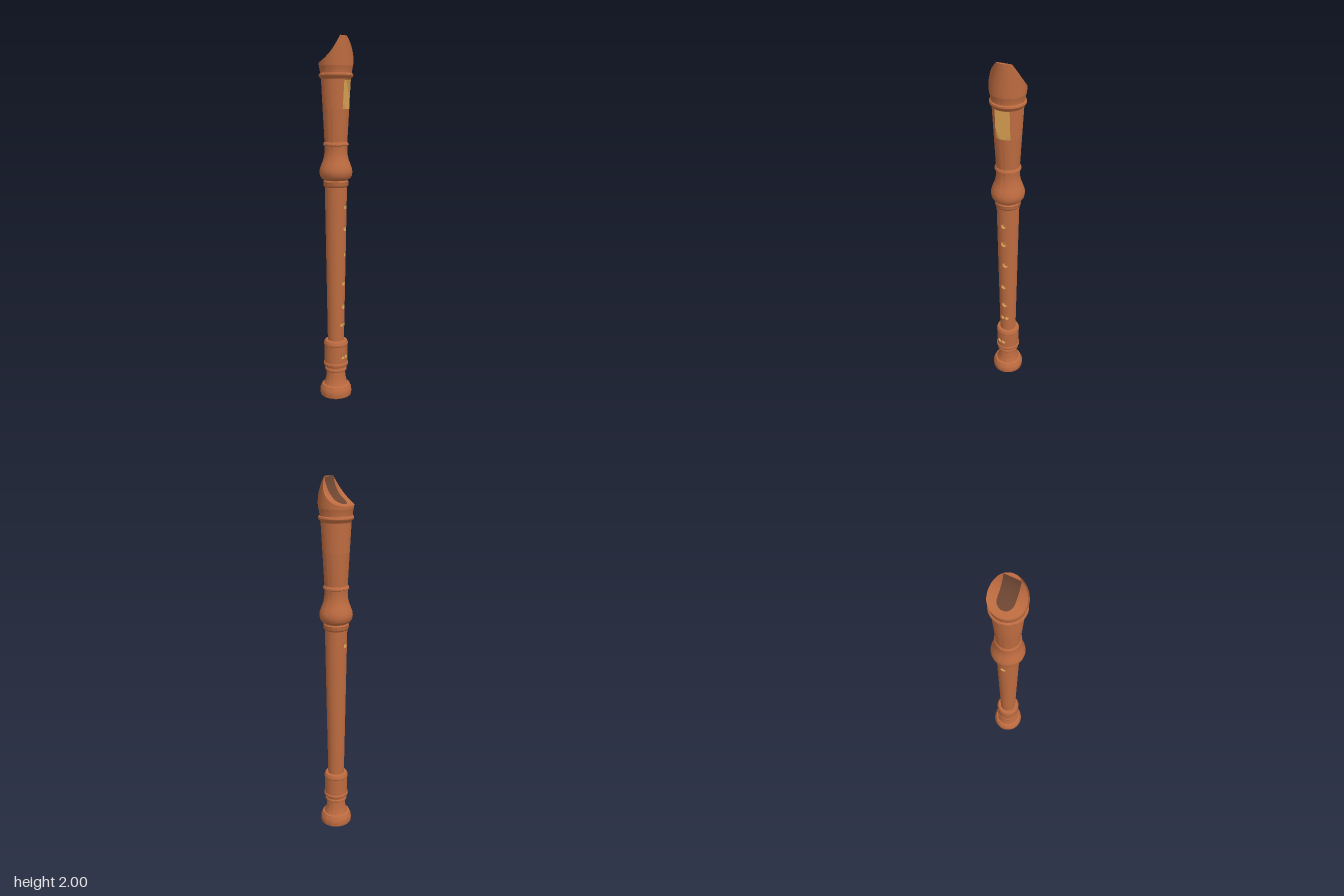
import * as THREE from 'three';
import { toCreasedNormals } from 'three/addons/utils/BufferGeometryUtils.js';

const material = (name, color) => {
  const m = new THREE.MeshStandardMaterial({ color, side: THREE.DoubleSide });
  m.name = name;
  return m;
};
const wood = material('reddish wood', 0xbd6b40);
const pale = material('pale cut wood', 0xd09a50);
const dark = material('dark block', 0x6e4632);
const { lerp, clamp } = THREE.MathUtils;

function add(group, name, geometry, mat = wood) {
  const mesh = new THREE.Mesh(geometry, mat);
  mesh.name = name;
  group.add(mesh);
  return mesh;
}

// Surface f(u, v) -> [x, y, z]; its face points along du x dv.
function grid(nu, nv, f, round = false) {
  const pos = [], index = [];
  for (let i = 0; i <= nu; i++) for (let j = 0; j <= nv; j++) pos.push(...f(i / nu, j / nv));
  for (let i = 0; i < nu; i++) for (let j = 0; j < nv; j++) {
    const a = i * (nv + 1) + j, b = a + nv + 1;
    index.push(a, b, a + 1, b, b + 1, a + 1);
  }
  const g = new THREE.BufferGeometry();
  g.setAttribute('position', new THREE.Float32BufferAttribute(pos, 3));
  g.setIndex(index);
  g.computeVertexNormals();
  if (round) { // outward normals keep neighbouring panels seamless
    for (let i = 0; i < pos.length; i += 3) {
      const l = Math.hypot(pos[i], pos[i + 2]);
      g.attributes.normal.setXYZ(i / 3, pos[i] / l, 0, pos[i + 2] / l);
    }
  }
  return g;
}

function turned(group, name, points, mat = wood) {
  const g = new THREE.LatheGeometry(points.map(([r, y]) => new THREE.Vector2(r, y)), 56);
  add(group, name, toCreasedNormals(g, 0.6), mat);
}

// Strip of wall between z = -w and w, pierced by rows of holes [y, [[z0, z1, zc, r], ...]]
function panel(group, y0, y1, R, w, rows) {
  const at = (y, z, inset = 0) => [Math.sqrt(Math.max(R(y) ** 2 - z * z, 0)) - inset, y, z];
  const h = 0.03;
  const plain = (a, b) => add(group, 'wallStrip',
    grid(2, 10, (u, v) => at(lerp(a, b, u), lerp(-w, w, v)), true));
  let from = y0;
  for (const [yc, cells] of rows) {
    plain(from, yc - h);
    from = yc + h;
    for (const [z0, z1, zc, r] of cells) {
      const ring = (u, v) => {
        const t = v * Math.PI * 2 + Math.PI / 4, c = Math.cos(t), s = Math.sin(t);
        // square loop stretched to the cell border
        const k = Math.max(Math.abs(c), Math.abs(s));
        const sy = c / k, sz = s / k;
        const oz = sz > 0 ? lerp(zc, z1, sz) : lerp(zc, z0, -sz);
        return [lerp(yc + r * c, yc + h * sy, u), lerp(zc + r * s, oz, u)];
      };
      add(group, 'holeSurround', grid(4, 32, (u, v) => at(...ring(u, v)), true));
      add(group, 'holeWall', grid(1, 32, (u, v) => at(...ring(0, v), u * 0.015)), pale);
    }
  }
  plain(from, y1);
}

// Tapered tube with a front strip (null leaves it open) and a back strip
function tube(group, name, y0, y1, R, w, front, back = []) {
  const g = new THREE.Group();
  g.name = name;
  group.add(g);
  for (const start of [0, Math.PI]) {
    add(g, 'sideWall', grid(8, 20, (u, v) => {
      const y = lerp(y0, y1, u), r = R(y), A = Math.asin(w / r);
      const a = start + lerp(A, Math.PI - A, v);
      return [r * Math.cos(a), y, r * Math.sin(a)];
    }, true));
  }
  if (front) panel(g, y0, y1, R, w, front);
  const rear = new THREE.Group();
  rear.name = 'rearWall';
  rear.rotation.y = Math.PI;
  g.add(rear);
  panel(rear, y0, y1, R, w, back);
}

// Concave cut of the beak, and the dome it cuts into
const cut = x => x > 0.0438 ? 2 : 2.02 - 0.16 * Math.sqrt(1 - clamp((x + 0.095) / 0.14, 0, 1) ** 2);
const dome = [[1.845, 0.091], [1.87, 0.094], [1.9, 0.092], [1.92, 0.089], [1.94, 0.084],
  [1.96, 0.078], [1.98, 0.07], [2, 0.06]];
function domeR(y) {
  let i = 0;
  while (i < dome.length - 2 && y > dome[i + 1][0]) i++;
  const [a, b] = [dome[i], dome[i + 1]];
  return lerp(a[1], b[1], (y - a[0]) / (b[0] - a[0]));
}
function rimY(a) {
  let lo = 1.845, hi = 2;
  for (let i = 0; i < 30; i++) {
    const m = (lo + hi) / 2;
    if (m < cut(domeR(m) * Math.cos(a))) lo = m; else hi = m;
  }
  return hi;
}

function buildBeak(group) {
  add(group, 'beakWall', grid(16, 96, (u, v) => {
    const a = v * Math.PI * 2, y = lerp(1.845, rimY(a), u), r = domeR(y);
    return [r * Math.cos(a), y, r * Math.sin(a)];
  }, true));
  add(group, 'beakCut', toCreasedNormals(grid(2, 72, (u, v) => {
    const a = Math.PI * (1 - v), y = rimY(a), r = domeR(y);
    return [r * Math.cos(a), y, r * Math.sin(a) * (2 * u - 1)];
  }), 0.6));
  // rounded dark block set into the cut
  add(group, 'beakBlock', grid(2, 48, (u, v) => {
    const x = lerp(-0.057, 0.0435, v);
    const w = x < -0.015 ? Math.sqrt(Math.max(0.042 ** 2 - (x + 0.015) ** 2, 0)) : 0.042;
    return [x - 0.0015, cut(x) + 0.0015, w * (2 * u - 1)];
  }), dark);
}

// Sound window: sloping pale ramp between upright cheeks
function buildWindow(group, y0, y1, R, w) {
  const skin = (y, z) => Math.sqrt(R(y) ** 2 - z * z);
  const ramp = (y, z) => Math.min(skin(y, z), lerp(0.071, 0.042, (y - y0) / (y1 - y0)));
  add(group, 'windowRamp', grid(24, 16, (u, v) => {
    const y = lerp(y0, y1, u), z = lerp(-w, w, v);
    return [ramp(y, z), y, z];
  }), pale);
  for (const s of [-1, 1]) {
    add(group, 'windowCheek', grid(24, 1, (u, v) => {
      const y = lerp(y0, y1, u), z = s * w;
      return [lerp(ramp(y, z), skin(y, z), s > 0 ? v : 1 - v), y, z];
    }), pale);
  }
  add(group, 'windowTop', grid(1, 12, (u, v) => {
    const z = lerp(-w, w, v);
    return [lerp(ramp(y1, z), skin(y1, z), u), y1, z];
  }));
}

export function createModel() {
  const model = new THREE.Group();
  model.name = 'recorder';

  // Foot joint
  turned(model, 'footBell', [[0.034, 0], [0.08, 0], [0.087, 0.006], [0.089, 0.02], [0.088, 0.045],
    [0.082, 0.055], [0.078, 0.066], [0.067, 0.07], [0.061, 0.085], [0.055, 0.11], [0.052, 0.145],
    [0.06, 0.15], [0.062, 0.156], [0.06, 0.163], [0.056, 0.165], [0.056, 0.175], [0.066, 0.178],
    [0.07, 0.186], [0.069, 0.196], [0.065, 0.2]]);
  const footR = () => 0.065;
  tube(model, 'footBarrel', 0.2, 0.3, footR, 0.05,
    [[0.24, [[-0.05, 0.015, 0.001, 0.0125], [0.015, 0.05, 0.029, 0.0125]]]]);
  turned(model, 'footCollar', [[0.065, 0.3], [0.068, 0.304], [0.068, 0.314], [0.061, 0.328], [0.046, 0.33]]);
  turned(model, 'lowerBore', [[0.034, 0], [0.029, 0.03], [0.029, 0.46]], pale);

  // Middle joint with finger holes and a thumb hole
  const bodyR = y => lerp(0.046, 0.061, (y - 0.33) / 0.87);
  const w = 0.035;
  const single = (y, z = 0, r = 0.017) => [y, [[-w, w, z, r]]];
  tube(model, 'body', 0.33, 1.2, bodyR, w, [
    [0.425, [[-w, 0, -0.014, 0.0115], [0, w, 0.014, 0.0125]]],
    single(0.53), single(0.665, 0.005, 0.015), single(0.83, -0.008), single(0.975), single(1.095, 0, 0.015),
  ], [single(1.12)]);

  // Collar, bulge and lower head
  const headR = y => lerp(0.062, 0.08, (y - 1.445) / 0.33);
  turned(model, 'headBulge', [[0.061, 1.2], [0.067, 1.206], [0.069, 1.214], [0.069, 1.23], [0.064, 1.237],
    [0.066, 1.24], [0.078, 1.247], [0.087, 1.262], [0.09, 1.282], [0.088, 1.3], [0.079, 1.325],
    [0.07, 1.348], [0.064, 1.375], [0.062, 1.4], [0.063, 1.424], [0.069, 1.427], [0.07, 1.432],
    [0.068, 1.438], [0.062, 1.445], [headR(1.62), 1.62]]);

  // Upper head with the sound window
  tube(model, 'headTube', 1.62, 1.775, headR, 0.04, null);
  buildWindow(model, 1.62, 1.775, headR, 0.04);
  turned(model, 'headRings', [[0.08, 1.775], [0.083, 1.783], [0.09, 1.788], [0.093, 1.796], [0.091, 1.804],
    [0.085, 1.808], [0.086, 1.82], [0.089, 1.836], [0.091, 1.845]]);
  buildBeak(model);
  return model;
}
